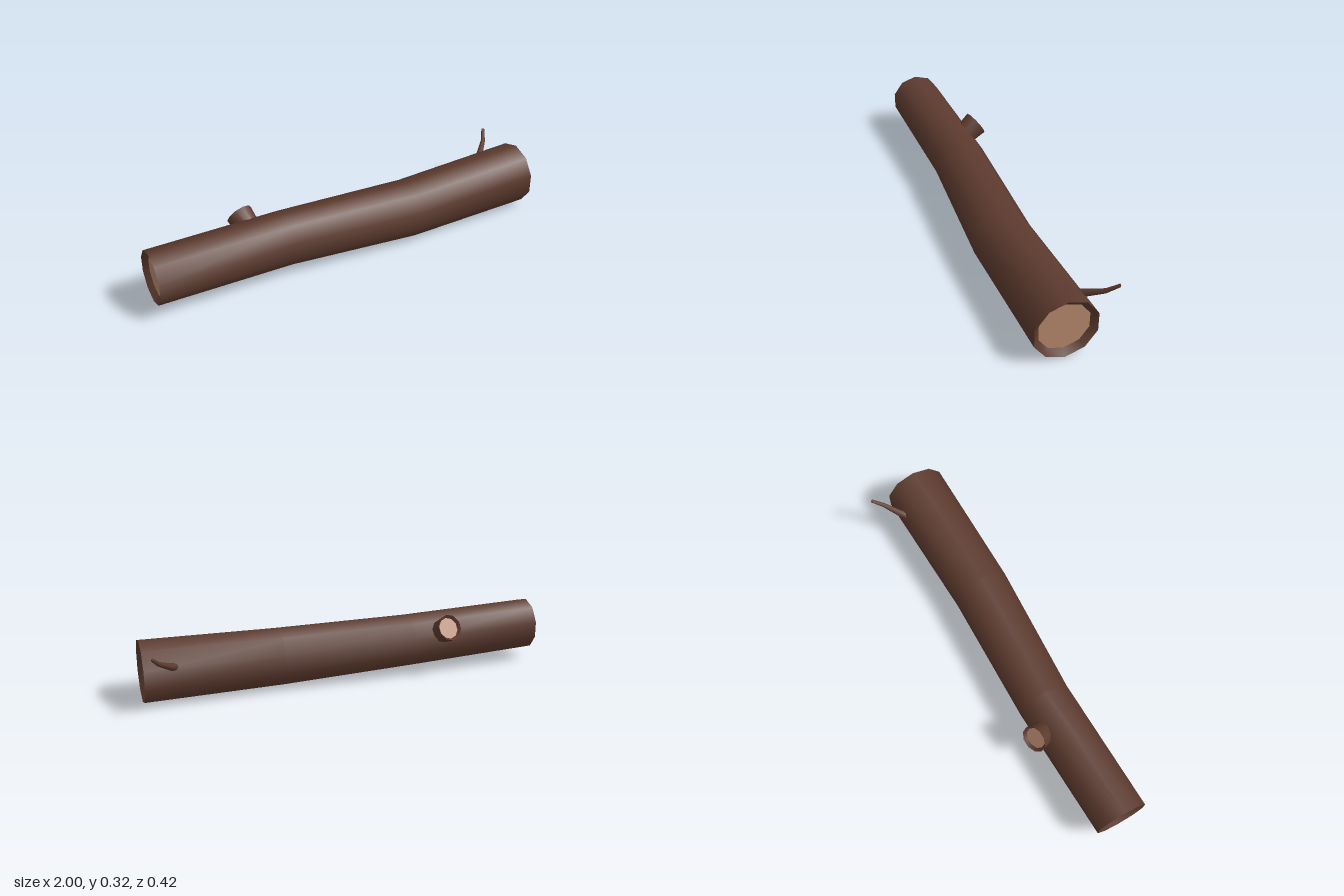
import * as THREE from 'three';

const bark = new THREE.MeshStandardMaterial({ color: 0x5c3a2e });
const wood = new THREE.MeshStandardMaterial({ color: 0xb5866c });

// Smooth skin over rings [centre, radius], all square to dir, first corner uppermost
function loft(name, rings, dir, sides, material) {
  const d = dir.clone().normalize();
  const u = new THREE.Vector3(0, 1, 0).addScaledVector(d, -d.y).normalize();
  const v = new THREE.Vector3().crossVectors(d, u);
  const pos = [], index = [];
  rings.forEach(([c, r], i) => {
    for (let j = 0; j < sides; j++) {
      const t = (j / sides) * Math.PI * 2;
      const p = c.clone().addScaledVector(u, r * Math.cos(t)).addScaledVector(v, r * Math.sin(t));
      pos.push(p.x, p.y, p.z);
      if (i === 0) continue;
      const k = (j + 1) % sides, a = (i - 1) * sides, b = i * sides;
      index.push(a + j, a + k, b + j);
      if (r > 0) index.push(a + k, b + k, b + j);
    }
  });
  const geo = new THREE.BufferGeometry();
  geo.setAttribute('position', new THREE.Float32BufferAttribute(pos, 3));
  geo.setIndex(index);
  geo.computeVertexNormals();
  const mesh = new THREE.Mesh(geo, material);
  mesh.name = name;
  return mesh;
}

// Cut end: a bark rim sloping in to a sunken disc of bare wood
function cutEnd(name, [c, r], dir, sides, depth) {
  const g = new THREE.Group();
  g.name = name;
  const sunk = c.clone().addScaledVector(dir.clone().normalize(), -depth);
  g.add(loft(name + 'Rim', [[c, r], [sunk, r * 0.8]], dir, sides, bark));
  g.add(loft(name + 'Wood', [[sunk, r * 0.8], [sunk, 0]], dir, sides, wood));
  return g;
}

const ring = (x, y, z, r) => [new THREE.Vector3(x, y, z), r];

export function createModel() {
  const model = new THREE.Group();
  model.name = 'log';

  // Slightly bent trunk, thicker towards +x
  const trunk = [
    ring(-1, 0.181, 0.077, 0.128),
    ring(-0.33, 0.167, 0.052, 0.132),
    ring(0.33, 0.147, 0.072, 0.144),
    ring(1, 0.157, 0.046, 0.153),
  ];
  const along = new THREE.Vector3(1, 0, 0);
  model.add(loft('trunk', trunk, along, 10, bark));
  model.add(cutEnd('leftEnd', trunk[3], along, 10, 0.025));
  model.add(cutEnd('rightEnd', trunk[0], along.clone().negate(), 10, 0.025));

  // Sawn branch stub, flaring outwards
  const stubDir = new THREE.Vector3(-0.2, 0.5, -0.84);
  const stub = [ring(-0.475, 0.212, -0.016, 0.055), ring(-0.495, 0.262, -0.1, 0.066)];
  model.add(loft('branchStub', stub, stubDir, 10, bark));
  model.add(cutEnd('stubEnd', stub[1], stubDir, 10, 0.014));

  // Thin bent twig with a closed tip
  const twig = [
    ring(0.84, 0.195, -0.06, 0.021),
    ring(0.885, 0.222, -0.105, 0.016),
    ring(0.937, 0.258, -0.155, 0.011),
    ring(0.967, 0.297, -0.204, 0.008),
    ring(0.969, 0.299, -0.207, 0),
  ];
  model.add(loft('twig', twig, new THREE.Vector3(0.55, 0.42, -0.62), 8, bark));

  return model;
}
